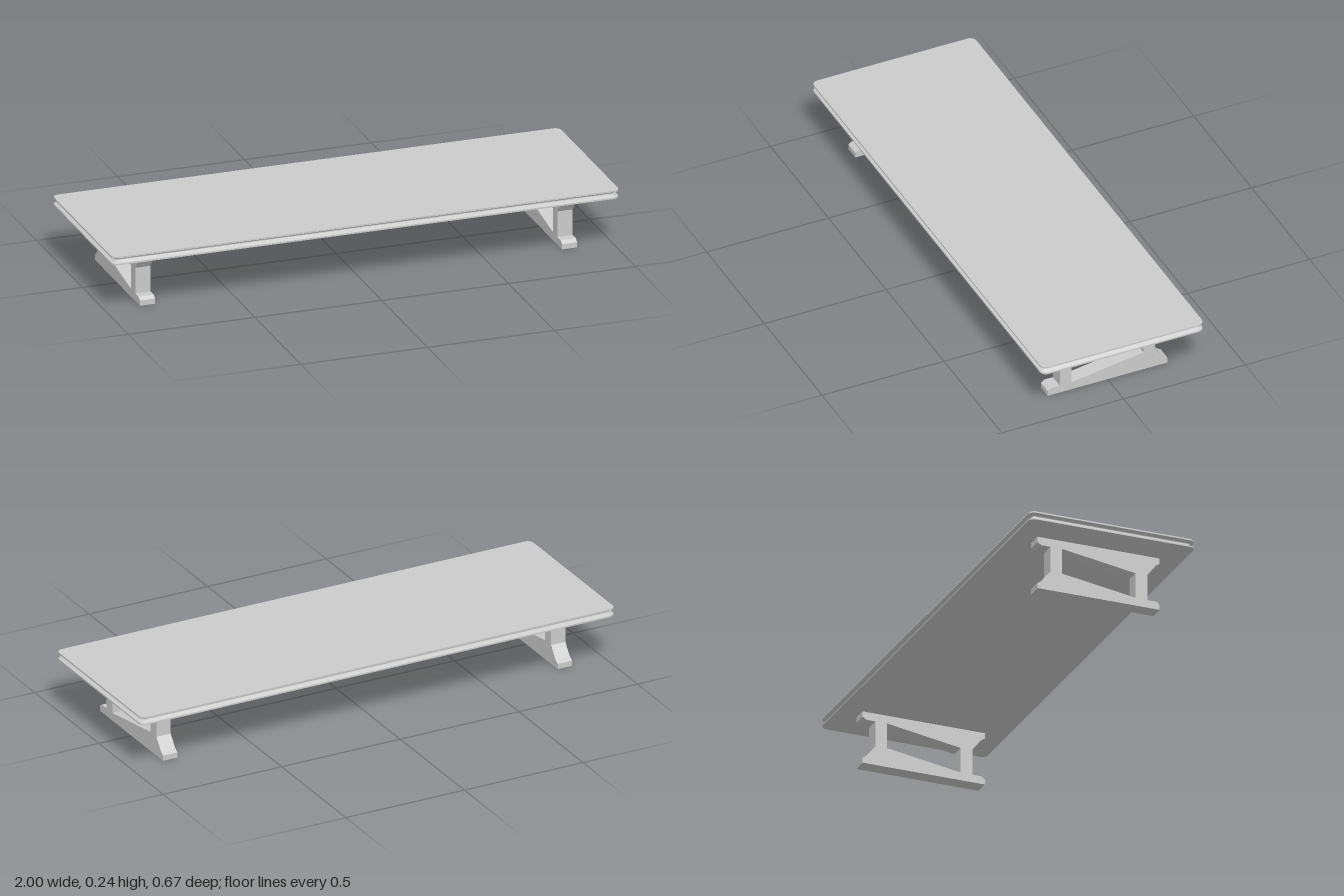
import * as THREE from 'three';
import { toCreasedNormals } from 'three/addons/utils/BufferGeometryUtils.js';

const material = new THREE.MeshStandardMaterial({ color: 0xcccccc });

const HALF_X = 1, HALF_Z = 0.333, CORNER = 0.025;
const BOTTOM = 0.21, TOP = 0.243;

// Rounded rectangle pulled inwards by inset, counter-clockwise seen from above
function outline(inset, y, steps = 6) {
  const r = CORNER - inset;
  const points = [];
  [[1, -1], [-1, -1], [-1, 1], [1, 1]].forEach(([sx, sz], corner) => {
    for (let i = 0; i <= steps; i++) {
      const a = (corner + i / steps) * Math.PI / 2;
      points.push([
        sx * (HALF_X - CORNER) + r * Math.cos(a),
        y,
        sz * (HALF_Z - CORNER) - r * Math.sin(a),
      ]);
    }
  });
  return points;
}

// Slab lofted through its edge profile, with a groove running all round
function tabletopGeometry() {
  const profile = [
    [0, BOTTOM], [0, 0.216], [0.012, 0.222], [0.0155, 0.225],
    [0.0155, 0.228], [0.012, 0.231], [0, 0.237], [0, TOP],
  ];
  const rings = profile.map(([inset, y]) => outline(inset, y));
  const n = rings[0].length;
  const last = rings.length - 1;
  const positions = [];
  const triangle = (a, b, c) => positions.push(...a, ...b, ...c);
  for (let i = 0; i < n; i++) {
    const j = (i + 1) % n;
    for (let k = 0; k < last; k++) {
      triangle(rings[k][i], rings[k][j], rings[k + 1][j]);
      triangle(rings[k][i], rings[k + 1][j], rings[k + 1][i]);
    }
    triangle([0, TOP, 0], rings[last][i], rings[last][j]);
    triangle([0, BOTTOM, 0], rings[0][j], rings[0][i]);
  }
  const geometry = new THREE.BufferGeometry();
  geometry.setAttribute('position', new THREE.Float32BufferAttribute(positions, 3));
  return toCreasedNormals(geometry, 0.9);
}

// Trestle: foot, two posts, top rail and slanted window, drawn as [z, y]
function trestleGeometry(width) {
  const toPoints = (list) => list.map(([z, y]) => new THREE.Vector2(-z, y));
  const shape = new THREE.Shape(toPoints([
    [0.246, 0], [-0.246, 0], [-0.246, 0.021], [-0.23, 0.031],
    [-0.194, 0.077], [-0.194, 0.178], [-0.23, 0.178], [-0.246, 0.188],
    [-0.246, BOTTOM], [0.246, BOTTOM], [0.246, 0.188], [0.23, 0.178],
    [0.196, 0.133], [0.196, 0.031], [0.232, 0.031], [0.246, 0.021],
  ]));
  shape.holes.push(new THREE.Path(toPoints([
    [0.149, 0.032], [0.149, 0.132], [-0.147, 0.178], [-0.147, 0.077],
  ])));
  const geometry = new THREE.ExtrudeGeometry(shape, { depth: width, bevelEnabled: false });
  return geometry.translate(0, 0, -width / 2).rotateY(Math.PI / 2);
}

export function createModel() {
  const group = new THREE.Group();
  group.name = 'lowTable';

  const top = new THREE.Mesh(tabletopGeometry(), material);
  top.name = 'tabletop';
  group.add(top);

  // One trestle near each end
  const trestle = trestleGeometry(0.06);
  for (const [name, side] of [['leftTrestle', 1], ['rightTrestle', -1]]) {
    const leg = new THREE.Mesh(trestle, material);
    leg.name = name;
    leg.position.x = side * 0.832;
    group.add(leg);
  }
  return group;
}
